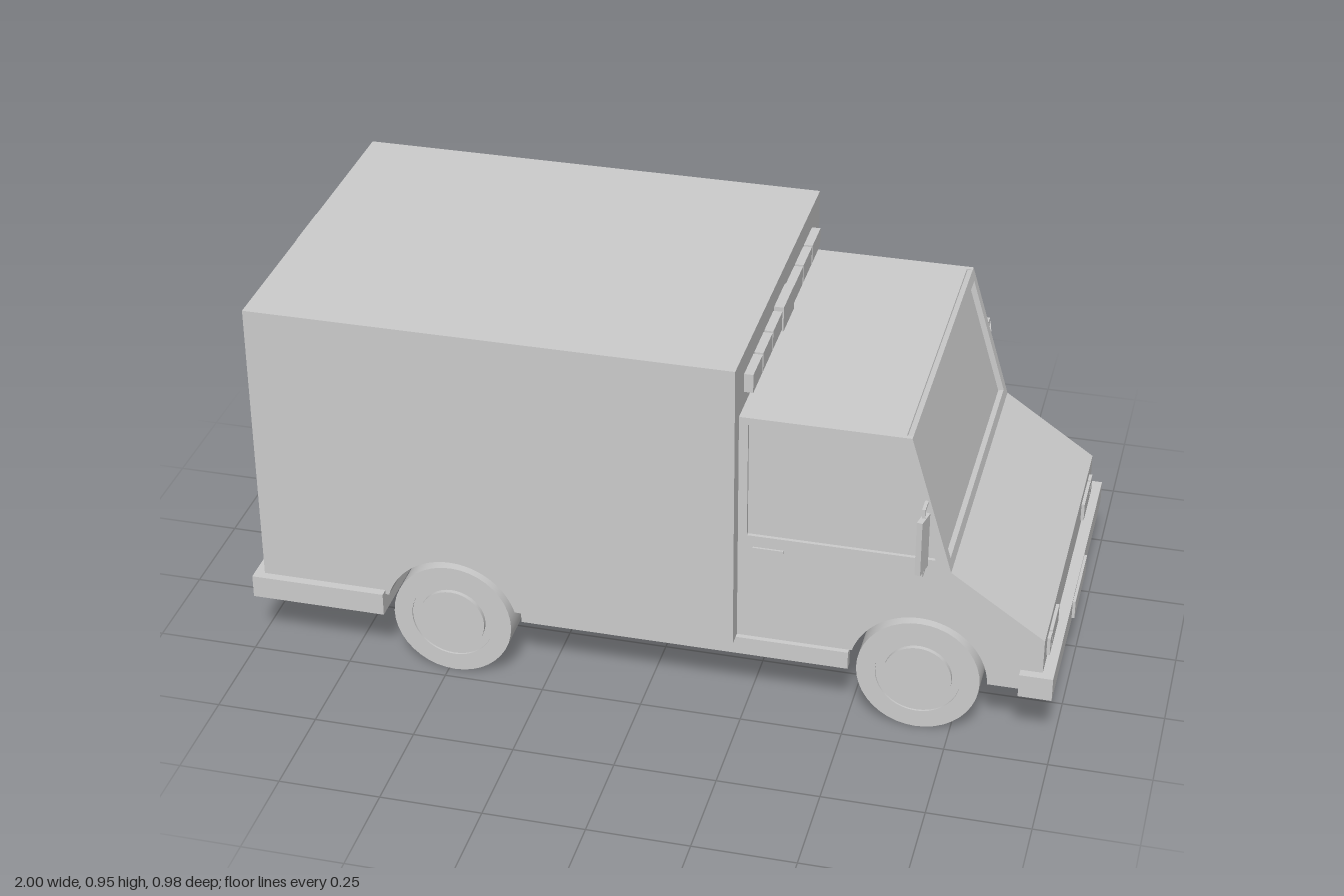
import * as THREE from 'three';

const mat = new THREE.MeshStandardMaterial({ color: 0xcccccc });
const WHEEL_Y = 0.152, ARCH_R = 0.168, REAR_X = -0.485, FRONT_X = 0.667;

export function createModel() {
  const model = new THREE.Group();

  const add = (name, geo, parent = model) => {
    const m = new THREE.Mesh(geo, mat);
    m.name = name;
    parent.add(m);
    return m;
  };
  // Box given by its limits
  const box = (name, x0, x1, y0, y1, z0, z1) => {
    const m = add(name, new THREE.BoxGeometry(x1 - x0, y1 - y0, Math.abs(z1 - z0)));
    m.position.set((x0 + x1) / 2, (y0 + y1) / 2, (z0 + z1) / 2);
    return m;
  };
  // Side profile extruded from z0 to z1
  const slab = (name, shape, z0, z1) => {
    const geo = new THREE.ExtrudeGeometry(shape, { depth: z1 - z0, bevelEnabled: false, curveSegments: 28 });
    return add(name, geo.translate(0, 0, z0));
  };
  const polygon = (pts, Type = THREE.Shape) => new Type(pts.map(([x, y]) => new THREE.Vector2(x, y)));
  // Profile from points before a wheel arch, the arch, and points after it
  const archedShape = (before, x, yIn, yOut, after) => {
    const s = new THREE.Shape();
    s.moveTo(...before[0]);
    before.slice(1).forEach((p) => s.lineTo(...p));
    s.absarc(x, WHEEL_Y, ARCH_R,
      Math.PI - Math.asin((yIn - WHEEL_Y) / ARCH_R), Math.asin((yOut - WHEEL_Y) / ARCH_R), true);
    after.forEach((p) => s.lineTo(...p));
    return s;
  };

  // Cargo box with rear wheel arch
  slab('cargoBox', archedShape([[-0.97, 0.955], [-0.97, 0.2]], REAR_X, 0.2, 0.2,
    [[0.223, 0.2], [0.223, 0.955]]), -0.47, 0.47);

  // Cab shell, open below the seats: roof, windshield and nose in one band
  slab('cabShell', archedShape(
    [[0.22, 0.811], [0.22, 0.795], [0.6, 0.795], [0.7, 0.45], [0.56, 0.34], [0.485, 0.2]], FRONT_X, 0.2, 0.157,
    [[0.965, 0.157], [0.965, 0.303], [0.735, 0.46], [0.72, 0.46], [0.615, 0.811]]), -0.415, 0.415);

  // Cab sides with window openings
  const windowPts = [[0.245, 0.488], [0.245, 0.792], [0.61, 0.792], [0.697, 0.488]];
  const side = archedShape([[0.22, 0.811], [0.22, 0.2]], FRONT_X, 0.2, 0.157,
    [[0.965, 0.157], [0.965, 0.303], [0.735, 0.46], [0.63, 0.811]]);
  side.holes.push(polygon(windowPts, THREE.Path));
  const pane = polygon(windowPts);

  // Windshield frame, tilted onto the sloping front
  const run = 0.105, rise = 0.351, slope = Math.hypot(run, rise);
  const frame = polygon([[-0.416, 0], [0.416, 0], [0.416, slope], [-0.416, slope]]);
  frame.holes.push(polygon([[-0.4, 0.024], [-0.4, slope - 0.025], [0.4, slope - 0.025], [0.4, 0.024]], THREE.Path));
  const frameGeo = new THREE.ExtrudeGeometry(frame, { depth: 0.0144, bevelEnabled: false });
  frameGeo.translate(0, 0, -0.0144).rotateX(-Math.atan2(run, rise)).rotateY(Math.PI / 2).translate(0.735, 0.46, 0);
  add('windshieldFrame', frameGeo);

  // Chassis floor and bumpers
  box('chassisFloor', -0.317, 0.223, 0.153, 0.2, -0.44, 0.44);
  box('rearBumper', -0.995, -0.655, 0.153, 0.212, -0.492, 0.492);
  box('rearPlate', -1, -0.994, 0.16, 0.205, -0.105, 0.105);
  box('frontBumper', 0.912, 0.993, 0.152, 0.213, -0.45, 0.45);
  box('frontPlate', 0.99, 1, 0.16, 0.208, -0.107, 0.107);

  // Wheels: tyre, recessed rim groove and raised hub, outer face towards +z
  const profile = [[0, -0.1], [0.15, -0.1], [0.15, 0], [0.104, 0], [0.104, -0.005],
    [0.083, -0.005], [0.083, 0.006], [0, 0.006]];
  const wheel = (x, s, outerZ) => {
    const g = new THREE.Group();
    g.name = (x > 0 ? 'front' : 'rear') + (s > 0 ? 'Left' : 'Right') + 'Wheel';
    for (let i = 0; i < profile.length - 1; i++) {
      const pts = [profile[i], profile[i + 1]].map(([r, y]) => new THREE.Vector2(r, y));
      add('wheelRing', new THREE.LatheGeometry(pts, 40).rotateX(Math.PI / 2), g);
    }
    g.position.set(x, WHEEL_Y, s * outerZ);
    if (s < 0) g.rotation.y = Math.PI;
    model.add(g);
  };

  for (const s of [1, -1]) {
    wheel(FRONT_X, s, 0.425);
    wheel(REAR_X, s, 0.468);

    // Cab side, recessed window pane and sill
    slab('cabSide', side, s > 0 ? 0.415 : -0.427, s > 0 ? 0.427 : -0.415);
    slab('sideWindow', pane, s > 0 ? 0.41 : -0.418, s > 0 ? 0.418 : -0.41);
    box('cabSill', 0.22, 0.499, 0.153, 0.2, s * 0.415, s * 0.44);

    // Headlights and indicators
    box('headlight', 0.96, 0.973, 0.23, 0.278, s * 0.228, s * 0.34);
    box('indicator', 0.96, 0.973, 0.23, 0.278, s * 0.347, s * 0.376);

    // Marker lights above the cab
    for (const [a, b] of [[0.068, 0.167], [0.175, 0.273], [0.281, 0.378]])
      box('roofLight', 0.215, 0.245, 0.85, 0.898, s * a, s * b);

    // Door handle
    box('doorHandle', 0.26, 0.335, 0.45, 0.458, s * 0.425, s * 0.432);

    // Mirror on a C-shaped bracket
    box('mirror', 0.663, 0.677, 0.482, 0.627, s * 0.442, s * 0.491).rotation.y = s * -0.2;
    for (const y of [0.462, 0.644]) box('mirrorArm', 0.666, 0.674, y, y + 0.006, s * 0.42, s * 0.468);
    box('mirrorPost', 0.666, 0.674, 0.462, 0.65, s * 0.462, s * 0.468);

    // Rear door leaf with a window opening
    const leaf = polygon([[0.004, 0.245], [0.345, 0.245], [0.345, 0.89], [0.004, 0.89]]);
    leaf.holes.push(polygon([[0.115, 0.58], [0.115, 0.78], [0.24, 0.78], [0.24, 0.58]], THREE.Path));
    const leafGeo = new THREE.ExtrudeGeometry(leaf, { depth: 0.004, bevelEnabled: false });
    leafGeo.translate(s > 0 ? 0 : -0.349, 0, 0).rotateY(-Math.PI / 2).translate(-0.969, 0, 0);
    add('rearDoor', leafGeo);
    box('rearDoorHandle', -0.98, -0.972, 0.335, 0.347, s * 0.02, s * 0.08);

    // Tail lights in two stacked lenses
    box('tailLight', -0.982, -0.965, 0.272, 0.342, s * 0.385, s * 0.425);
    box('tailLight', -0.982, -0.965, 0.347, 0.417, s * 0.385, s * 0.425);
  }

  box('roofLightCentre', 0.215, 0.247, 0.84, 0.905, -0.06, 0.06);
  box('rearTopLight', -0.982, -0.965, 0.895, 0.94, -0.07, 0.07);

  return model;
}
